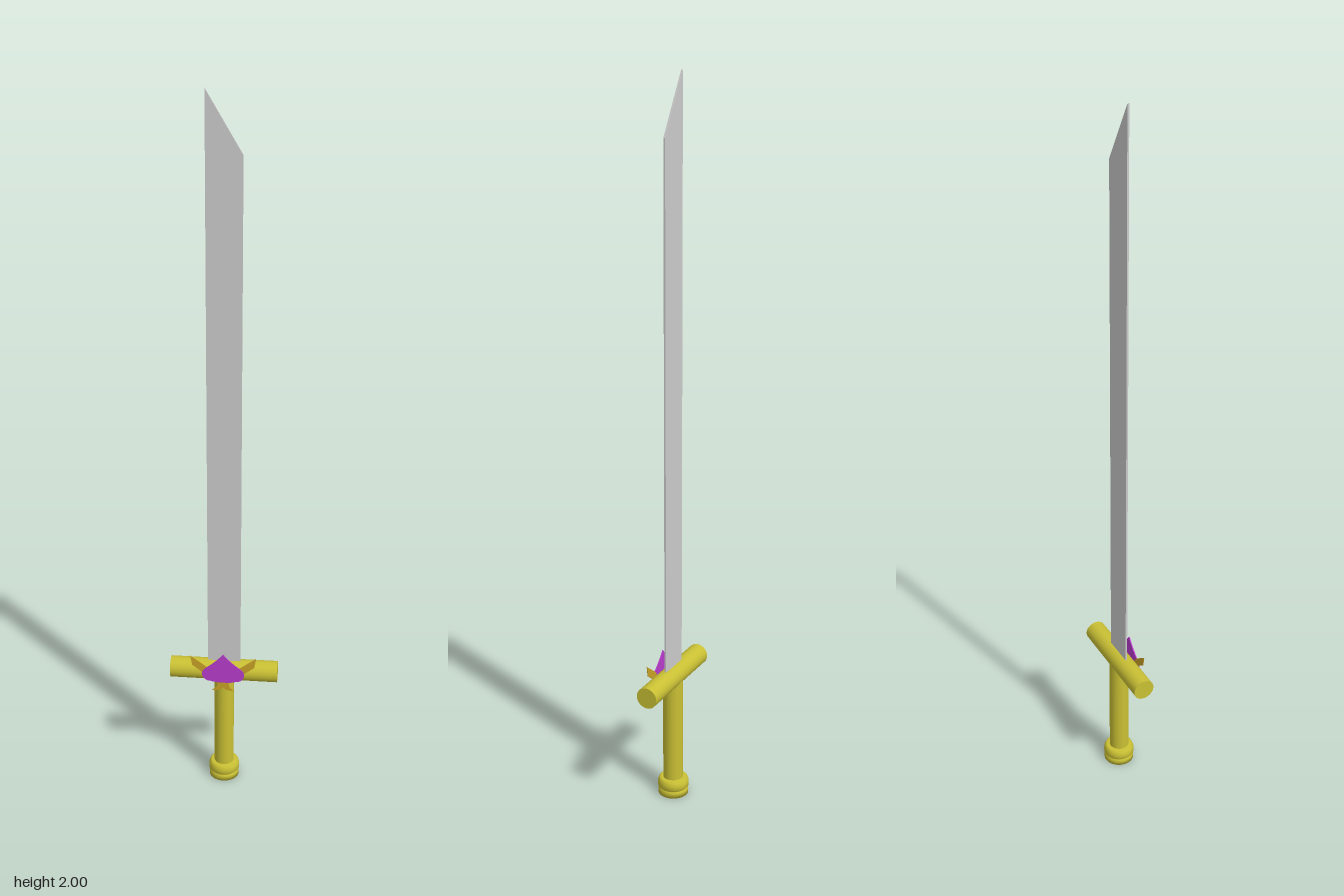
import * as THREE from 'three';

const mat = (color, side = THREE.FrontSide) => new THREE.MeshStandardMaterial({ color, side });

export function createModel() {
  const sword = new THREE.Group();
  const gold = mat(0xc9c034);
  const darkGold = mat(0xc9a227, THREE.DoubleSide);
  const purple = mat(0xb83ccc, THREE.DoubleSide);
  const steel = mat(0xcccccc);

  const add = (name, geometry, material, x = 0, y = 0, z = 0) => {
    const mesh = new THREE.Mesh(geometry, material);
    mesh.name = name;
    mesh.position.set(x, y, z);
    sword.add(mesh);
    return mesh;
  };
  // Flat plate cut from an outline, its back at z = 0
  const plate = (points, depth) => new THREE.ExtrudeGeometry(
    new THREE.Shape(points.map(([x, y]) => new THREE.Vector2(x, y))),
    { depth, bevelEnabled: false });

  // Thin blade with a slanted tip
  add('blade', plate([[-0.046, 0.37], [0.046, 0.37], [0.046, 1.845], [-0.046, 2]], 0.005), steel, 0, 0, -0.004);

  // Round crossguard
  add('crossguard', new THREE.CylinderGeometry(0.03, 0.03, 0.304, 32), gold, 0, 0.372, -0.001)
    .rotation.z = Math.PI / 2;

  // Grip
  add('grip', new THREE.CylinderGeometry(0.028, 0.028, 0.32, 32), gold, 0, 0.205, -0.001);

  // Pommel: a rounded cap above a flat foot ring
  const profile = [[0, 0], [0.043, 0], [0.043, 0.014], [0.039, 0.017], [0.039, 0.02],
    [0.044, 0.024], [0.044, 0.036], [0.041, 0.045], [0.036, 0.05], [0, 0.05]];
  add('pommel', new THREE.LatheGeometry(profile.map(p => new THREE.Vector2(...p)), 32), gold, 0, 0.003, -0.002);

  // Spade-shaped emblem on the front of the guard
  const spade = new THREE.Shape();
  spade.moveTo(0, 0.442);
  spade.quadraticCurveTo(0.02, 0.415, 0.052, 0.392);
  spade.bezierCurveTo(0.068, 0.378, 0.058, 0.352, 0.036, 0.352);
  spade.quadraticCurveTo(0.02, 0.347, 0, 0.348);
  spade.quadraticCurveTo(-0.02, 0.347, -0.036, 0.352);
  spade.bezierCurveTo(-0.058, 0.352, -0.068, 0.378, -0.052, 0.392);
  spade.quadraticCurveTo(-0.02, 0.415, 0, 0.442);
  add('emblem', new THREE.ExtrudeGeometry(spade, { depth: 0.003, bevelEnabled: false, curveSegments: 8 }), purple, 0, 0, 0.03);

  // Leaf wings and small stem tips, mirrored
  for (const s of [1, -1]) {
    const side = points => points.map(([x, y]) => [s * x, y]);
    add(s > 0 ? 'leftWing' : 'rightWing',
      plate(side([[0.03, 0.37], [0.06, 0.38], [0.088, 0.402], [0.093, 0.432], [0.07, 0.415], [0.045, 0.395]]), 0.002),
      darkGold, 0, 0, 0.029);
    add(s > 0 ? 'leftStemTip' : 'rightStemTip',
      plate(side([[0, 0.352], [0.014, 0.35], [0.018, 0.332], [0.032, 0.318], [0.008, 0.322], [0, 0.33]]), 0.002),
      darkGold, 0, 0, 0.029);
  }
  return sword;
}
